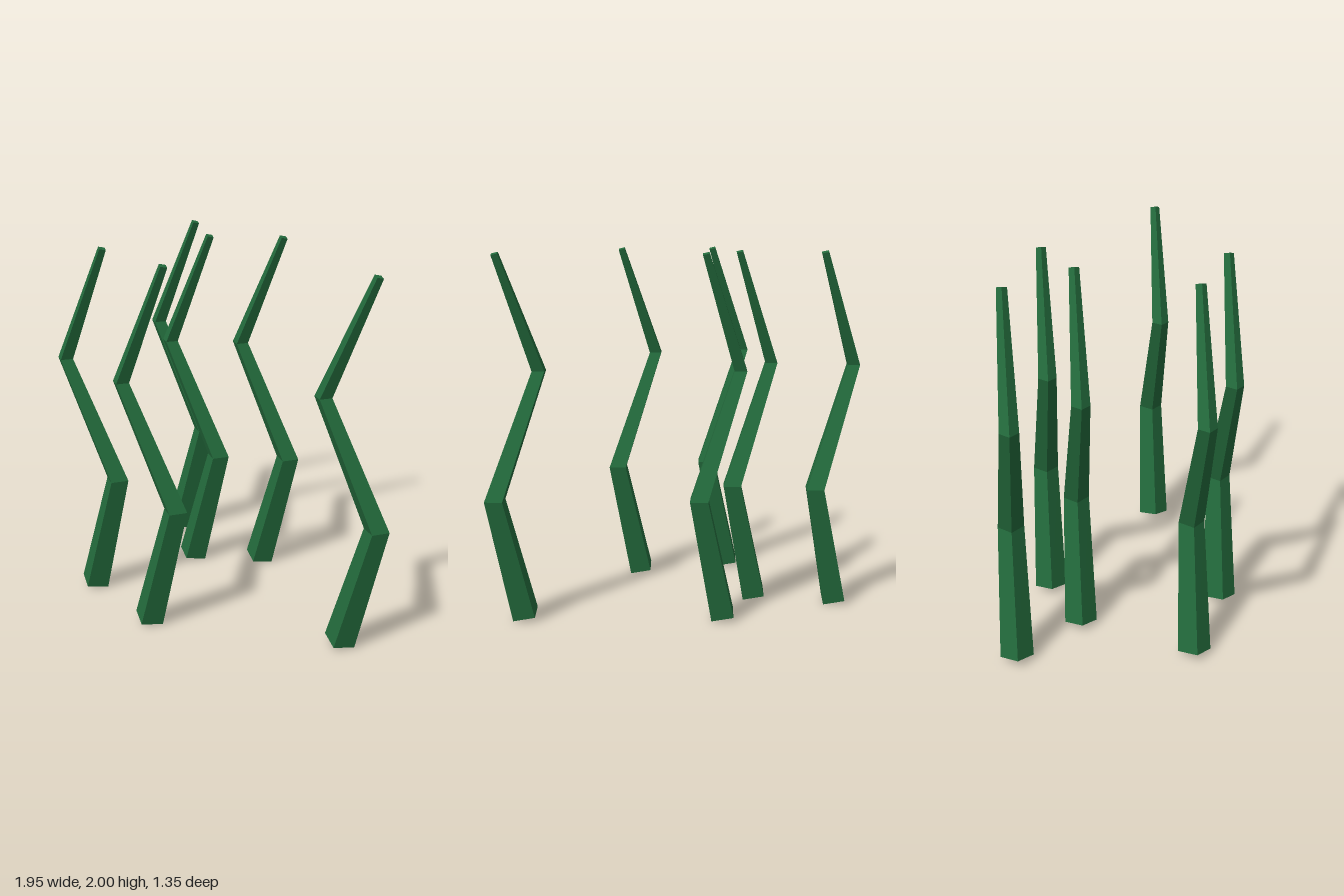
import * as THREE from 'three';

// Rings of one stalk, bottom to top: centre x, centre y, half width in x, tilt in y, half width in z
const RINGS = [
  [-0.247, 0.027, 0.083, -0.023, 0.087],
  [-0.068, 0.70, 0.068, 0, 0.068],
  [-0.372, 1.365, 0.048, 0, 0.048],
  [-0.108, 1.992, 0.023, -0.008, 0.026],
];

// Where each stalk stands: x of its lower bend, z
const STALKS = [
  [0.975, 0.37],
  [-0.555, 0.34],
  [-0.055, 0.585],
  [0.175, -0.36],
  [-0.21, -0.225],
  [-0.49, -0.59],
];

// Four-sided tapering column, bent into a zigzag ring by ring
function stalkGeometry() {
  const geometry = new THREE.CylinderGeometry(1, 1, 3, 4, 3).toNonIndexed();
  const p = geometry.attributes.position;
  for (let i = 0; i < p.count; i++) {
    const [cx, cy, halfX, tilt, halfZ] = RINGS[Math.round(p.getY(i) + 1.5)];
    const x = p.getX(i);
    p.setXYZ(i, cx + x * halfX, cy + x * tilt, p.getZ(i) * halfZ);
  }
  geometry.computeVertexNormals();
  return geometry;
}

export function createModel() {
  const model = new THREE.Group();
  model.name = 'stalks';
  const geometry = stalkGeometry();
  const material = new THREE.MeshStandardMaterial({ color: 0x236b3c, flatShading: true });
  STALKS.forEach(([x, z], i) => {
    const stalk = new THREE.Mesh(geometry, material);
    stalk.name = `stalk${i + 1}`;
    stalk.position.set(x, 0, z);
    model.add(stalk);
  });
  return model;
}
